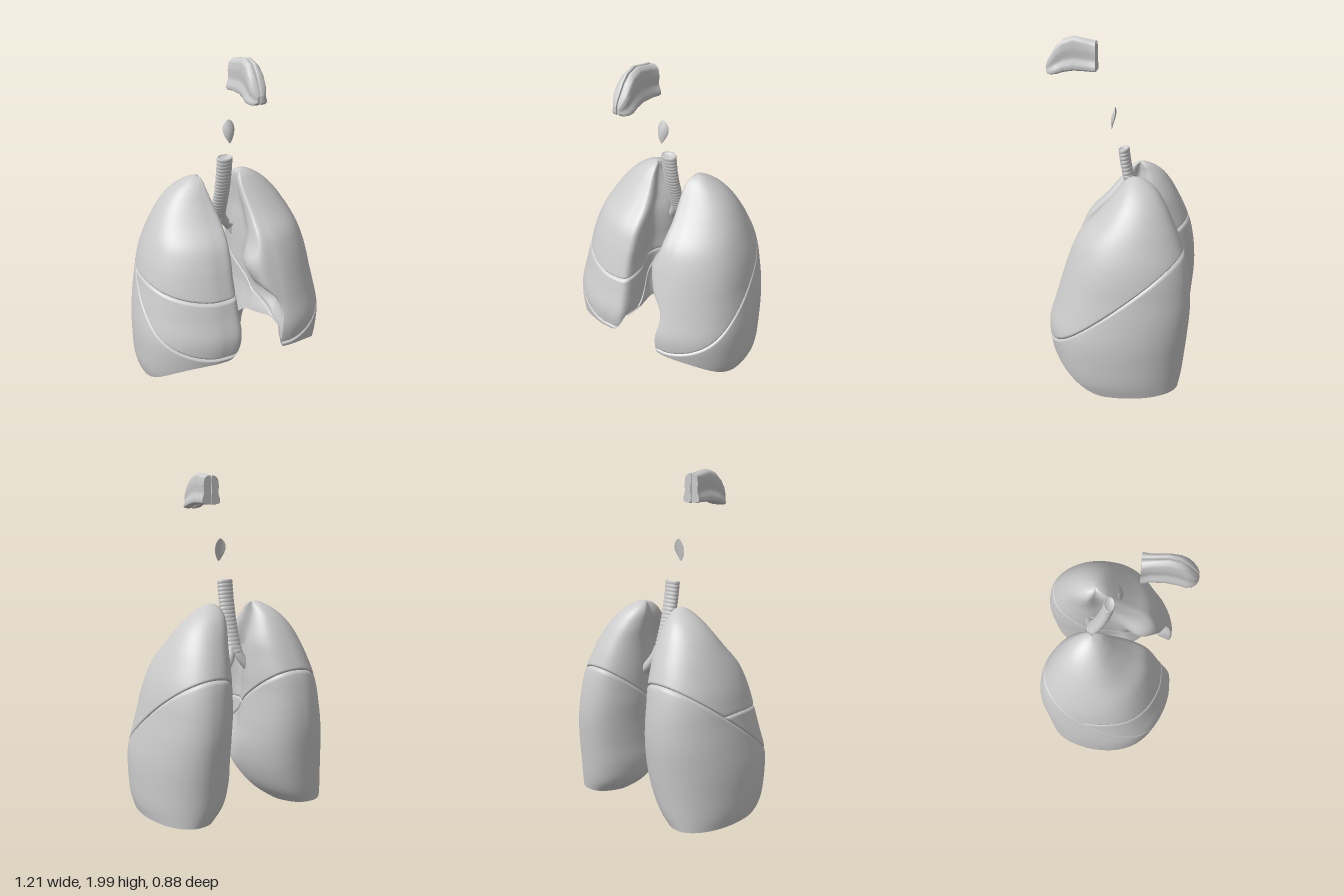
import * as THREE from 'three';

const mat = new THREE.MeshStandardMaterial({ color: 0xcccccc, roughness: 0.7, side: THREE.DoubleSide });
const step = THREE.MathUtils.smoothstep;
const lerp = THREE.MathUtils.lerp;
const bump = (v, centre, width) => Math.exp(-(((v - centre) / width) ** 2));
const TAU = Math.PI * 2;

function mesh(name, geometry) {
  const m = new THREE.Mesh(geometry, mat);
  m.name = name;
  return m;
}

// Surface from loops: fn(i, j) gives [x, y, z] for column i (wrapping) of row j
function loft(cols, rows, fn, flip) {
  const pos = [], idx = [];
  for (let j = 0; j < rows; j++) for (let i = 0; i < cols; i++) pos.push(...fn(i, j));
  for (let j = 0; j < rows - 1; j++) for (let i = 0; i < cols; i++) {
    const a = j * cols + i, b = j * cols + (i + 1) % cols, c = a + cols, d = b + cols;
    if (flip) idx.push(a, c, b, b, c, d);
    else idx.push(a, b, c, b, d, c);
  }
  const g = new THREE.BufferGeometry();
  g.setAttribute('position', new THREE.Float32BufferAttribute(pos, 3));
  g.setIndex(idx);
  g.computeVertexNormals();
  return g;
}

// Lung extents by height
const HEIGHTS = [0.01, 0.08, 0.2, 0.35, 0.5, 0.62, 0.7, 0.8, 0.9, 1.0, 1.1, 1.17, 1.21, 1.225, 1.23];
const OUTER = [0.582, 0.598, 0.605, 0.602, 0.58, 0.557, 0.543, 0.517, 0.477, 0.425, 0.355, 0.28, 0.215, 0.18, 0.155];
const FRONT = [0.31, 0.36, 0.4, 0.413, 0.37, 0.335, 0.31, 0.275, 0.225, 0.13, 0.045, -0.01, -0.05, -0.08, -0.1];
const BACK = [-0.385, -0.4, -0.415, -0.43, -0.44, -0.435, -0.425, -0.405, -0.37, -0.325, -0.27, -0.215, -0.16, -0.125, -0.1];
const INNER_LEFT = [0.2, 0.13, 0.09, 0.085, 0.085, 0.08, 0.08, 0.08, 0.083, 0.088, 0.085, 0.09, 0.11, 0.13, 0.155];
const INNER_RIGHT = [0.2, 0.12, 0.05, 0.015, 0.02, 0.03, 0.035, 0.035, 0.04, 0.05, 0.08, 0.105, 0.12, 0.135, 0.155];

const curveOf = values => {
  const c = new THREE.CubicInterpolant(HEIGHTS, values, 1, new Float32Array(1));
  return y => c.evaluate(Math.min(1.23, Math.max(0.01, y)))[0];
};
const outer = curveOf(OUTER), front = curveOf(FRONT), back = curveOf(BACK);

function lung(side) {
  const left = side > 0, label = left ? 'left' : 'right';
  const inner = curveOf(left ? INNER_LEFT : INNER_RIGHT);
  const group = new THREE.Group();
  group.name = label + 'Lung';
  const COLS = 160;

  // Point on the lung skin at an angle (0 = lateral, quarter turn = front) and height
  const skin = (t, y, inset = 0) => {
    const c = Math.cos(t), s = Math.sin(t);
    const o = outer(y), n = inner(y), f = front(y), b = back(y);
    const half = (o - n) / 2, mid = (o + n) / 2, zc = (f + b) / 2;
    const cx = c < 0 ? -Math.pow(-c, lerp(0.8, 0.48, step(s, -0.2, 0.6))) : c;
    let x = mid + half * cx - 0.4 * half * Math.max(0, s) ** 2 * (1 - cx * cx);
    if (c < 0) {
      // Hollow for the bronchi
      const size = Math.min(1, half / 0.2) * step(y, 0.2, 0.5);
      x -= cx * (left ? 0.05 : 0.085) * size * bump(s, 0.2, 0.33);
      // Front tip and heart notch on the left
      if (left) {
        x += cx * 0.075 * bump(s, 0.75, 0.35) * bump(y, 0.73, 0.1);
        const depth = (0.1 + 0.05 * bump(y, 0.46, 0.08)) * (1 - step(y, 0.5, 0.63));
        x -= cx * depth * step(s, 0.25, 0.65);
      }
    }
    const k = 1 - inset / 0.25, z = zc + (f - b) / 2 * s;
    return [side * (mid + (x - mid) * k), y, zc + (z - zc) * k];
  };

  // Border heights per angle: base rim (high towards the heart), sloping fissure, level fissure
  const rim = [], oblique = [], level = [];
  for (let i = 0; i < COLS; i++) {
    const t = i / COLS * TAU, c = Math.cos(t), s = Math.sin(t);
    rim[i] = c >= 0
      ? 0.01 + 0.21 * step(s, 0.15, 1.1) ** 1.5
      : 0.01 + (0.2 + 0.13 * step(-c, 0, 0.5)) * step(s, -0.6, 0.3);
    let lo = rim[i] + 0.004, hi = 1.2;
    for (let n = 0; n < 24; n++) {
      const y = (lo + hi) / 2;
      if (y < 0.24 + (0.41 - skin(t, y)[2]) * 0.745) lo = y; else hi = y;
    }
    oblique[i] = lo;
    level[i] = Math.max(lo, 0.59 + 0.075 * Math.max(0, c) ** 2 + 0.025 * Math.max(0, -c));
  }
  const apex = new Array(COLS).fill(1.23);

  // Lobe between two borders, its edges rolling into the fissures
  const lobe = (name, low, high, rollLow, rollHigh) => {
    const N = 46;
    const roll = e => 0.01 * Math.max(0, 1 - e / 0.016) ** 2;
    group.add(mesh(name, loft(COLS, N + 3, (i, j) => {
      const v = Math.min(1, Math.max(0, (j - 1) / N));
      const y = low[i] + (high[i] - low[i]) * (1 - Math.cos(Math.PI * v)) / 2;
      let inset = 0;
      if (rollLow) inset += roll(y - low[i]) + (j === 0 ? 0.04 : 0);
      if (rollHigh) inset += roll(high[i] - y) + (j === N + 2 ? 0.04 : 0);
      return skin(i / COLS * TAU, y, Math.min(inset, 0.05));
    }, left)));
  };
  lobe(label + 'LowerLobe', rim, oblique, false, true);
  if (left) lobe('leftUpperLobe', oblique, apex, true, false);
  else {
    lobe('rightMiddleLobe', oblique, level, true, true);
    lobe('rightUpperLobe', level, apex, true, false);
  }

  // Hollow, domed underside with steep walls
  group.add(mesh(label + 'LungBase', loft(COLS, 21, (i, j) => {
    const k = j / 20, p = skin(i / COLS * TAU, rim[i]), inward = k ** 1.4;
    return [
      lerp(p[0], side * 0.33, inward),
      rim[i] + (0.42 - rim[i]) * Math.sin(k * Math.PI / 2),
      lerp(p[2], -0.02, inward)];
  }, !left)));
  return group;
}

function tube(name, points, radius) {
  const curve = new THREE.CatmullRomCurve3(points.map(p => new THREE.Vector3(...p)));
  return mesh(name, new THREE.TubeGeometry(curve, 20, radius, 14));
}

function airway() {
  const group = new THREE.Group();
  group.name = 'airway';
  // Ringed windpipe, bending back on the way down
  const profile = [], rings = 19, length = 0.43;
  for (let i = 0; i <= rings * 6; i++) {
    const r = 0.046 + 0.004 * Math.sqrt(Math.abs(Math.sin(i / 6 * Math.PI)));
    profile.push(new THREE.Vector2(r, i / (rings * 6) * length));
  }
  profile.push(new THREE.Vector2(0.041, length), new THREE.Vector2(0.039, length - 0.01), new THREE.Vector2(0, length - 0.01));
  const pipe = new THREE.LatheGeometry(profile, 32);
  const p = pipe.attributes.position;
  for (let i = 0; i < p.count; i++) {
    const u = length - p.getY(i), z = p.getZ(i) * 0.66;
    p.setXYZ(i, p.getX(i), 1.354 - u - 0.2 * z, z - 0.008 - 0.095 * u - 0.385 * u * u);
  }
  pipe.computeVertexNormals();
  group.add(mesh('windpipe', pipe));
  // Main bronchi and their branches
  for (const s of [-1, 1]) {
    group.add(tube('mainBronchus', [[s * 0.018, 0.96, -0.11], [s * 0.035, 0.905, -0.125], [s * 0.09, 0.83, -0.145], [s * 0.2, 0.74, -0.16]], 0.028));
    group.add(tube('upperBranch', [[s * 0.06, 0.865, -0.135], [s * 0.12, 0.85, -0.12], [s * 0.2, 0.87, -0.08]], 0.018));
    group.add(tube('lowerBranch', [[s * 0.08, 0.84, -0.14], [s * 0.13, 0.75, -0.12], [s * 0.2, 0.66, -0.08]], 0.018));
  }
  return group;
}

// Small leaf-shaped flap above the windpipe
function epiglottis() {
  return mesh('epiglottis', loft(20, 21, (i, j) => {
    const v = (1 - Math.cos(Math.PI * j / 20)) / 2, t = i / 20 * TAU;
    const w = 0.037 * Math.pow(Math.max(0, Math.sin(Math.PI * Math.pow(v, 1.3))), 0.6);
    const x = w * Math.cos(t);
    const z = 0.064 - 0.022 * v + 0.007 * Math.sin(Math.PI * v) * (1 + Math.sin(t)) - 10 * x * x;
    return [x, 1.462 + 0.138 * v, z];
  }, true));
}

// Two nose halves, lofted from back to tip: [z, top, bottom, half width, waist]
function nose() {
  const group = new THREE.Group();
  group.name = 'nose';
  const table = [
    [0.15, 1.975, 1.805, 0.062, 0.85], [0.165, 1.977, 1.803, 0.06, 0.8], [0.2, 1.983, 1.806, 0.052, 0.78],
    [0.28, 2.0, 1.809, 0.051, 0.8], [0.34, 1.982, 1.8, 0.055, 0.8], [0.38, 1.945, 1.788, 0.06, 0.8],
    [0.41, 1.9, 1.784, 0.052, 0.88], [0.432, 1.865, 1.788, 0.036, 0.9], [0.443, 1.835, 1.8, 0.02, 0.9]];
  for (const s of [-1, 1]) {
    const sections = table.map(([z, top, bot, w, waist]) => {
      const h = top - bot, at = (x, k) => new THREE.Vector3(s * (0.0035 + x * (w - 0.0035)), bot + h * k, z);
      const loop = new THREE.CatmullRomCurve3([
        at(0, 0.03), at(0, 0.5), at(0, 0.97), at(0.3, 1), at(0.85 * waist, 0.9),
        at(waist, 0.65), at(waist * 0.95, 0.38), at(1, 0.17), at(0.97, 0.04), at(0.5, 0)], true, 'catmullrom', 0.3);
      return loop.getPoints(40).slice(0, 40);
    });
    const middle = ps => ps.reduce((a, q) => a.add(q), new THREE.Vector3()).divideScalar(ps.length);
    const last = sections.length - 1;
    group.add(mesh('noseHalf', loft(40, sections.length, (i, j) => sections[j][i].toArray(), s < 0)));
    for (const [k, flip] of [[0, s > 0], [last, s < 0]]) {
      const m = middle(sections[k]);
      group.add(mesh('noseEnd', loft(40, 2, (i, j) => (j ? m : sections[k][i]).toArray(), flip)));
    }
  }
  return group;
}

export function createModel() {
  const model = new THREE.Group();
  model.name = 'respiratorySystem';
  model.add(lung(1), lung(-1), airway(), epiglottis(), nose());
  return model;
}
